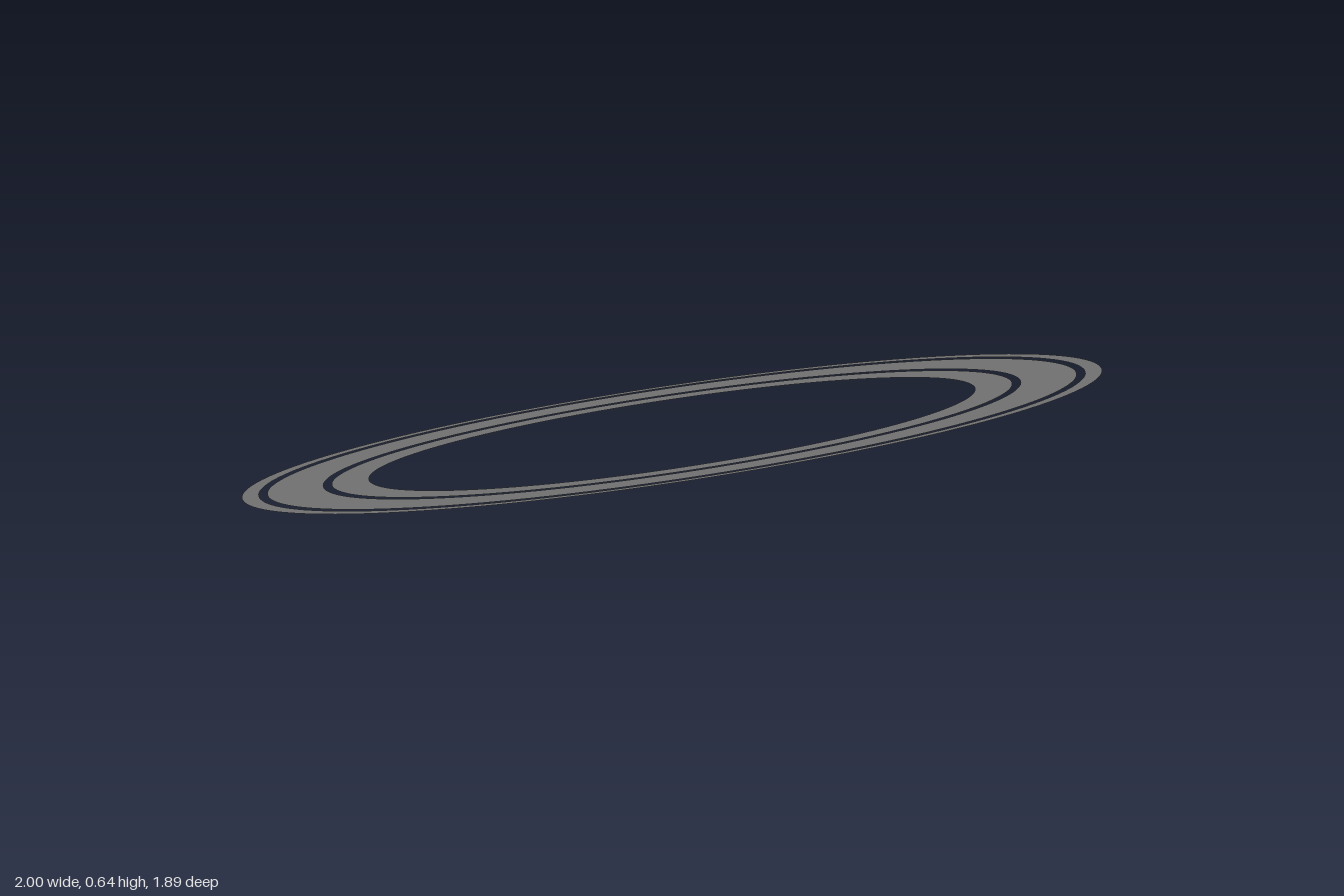
import * as THREE from 'three';

export function createModel() {
  const model = new THREE.Group();
  const material = new THREE.MeshStandardMaterial({ color: 0xcccccc, side: THREE.DoubleSide });

  // Flat concentric bands: name, inner radius, outer radius
  const bands = [
    ['innerRing', 0.705, 0.791],
    ['middleRing', 0.811, 0.941],
    ['outerRing', 0.961, 1.0],
  ];

  // The whole disc leans so that its front edge is raised and its back edge touches the ground
  const tilt = Math.asin(0.32);
  const rings = new THREE.Group();
  rings.name = 'tiltedRings';
  rings.position.y = 0.32;
  rings.rotation.x = -tilt;

  for (const [name, inner, outer] of bands) {
    const geometry = new THREE.RingGeometry(inner, outer, 128, 1);
    geometry.rotateX(-Math.PI / 2); // lay flat, facing up
    const mesh = new THREE.Mesh(geometry, material);
    mesh.name = name;
    rings.add(mesh);
  }

  model.add(rings);
  return model;
}
